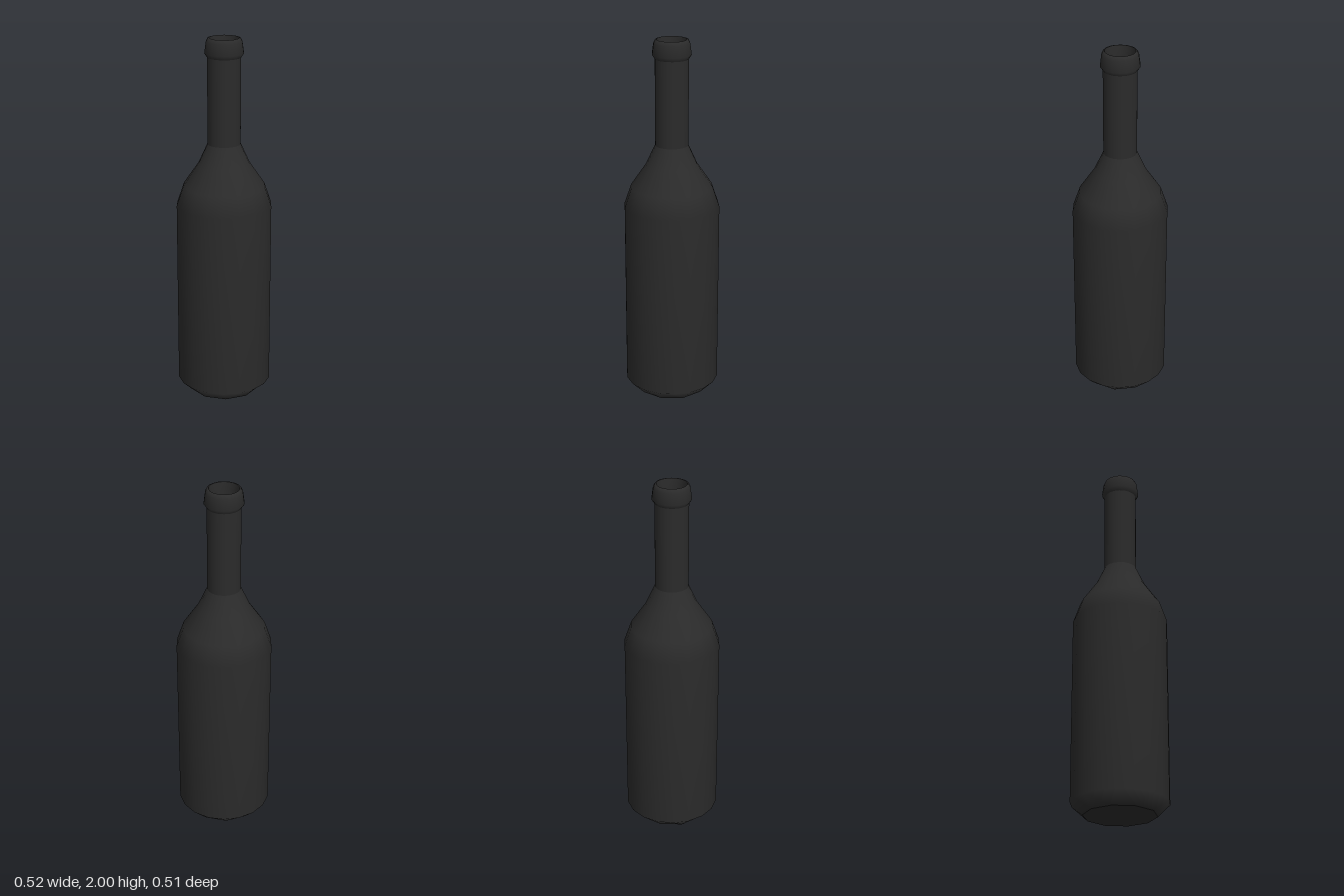
import * as THREE from 'three';

const SIDES = 18;
const CORE = 10; // coarser polygon used by the base and the bore floor

const glass = new THREE.MeshStandardMaterial({ color: 0x2b2b2b });

// Lathe with a corner on the x axis; profile is [radius, height] pairs
function turned(name, profile) {
  const points = profile.map(([r, y]) => new THREE.Vector2(r, y));
  const mesh = new THREE.Mesh(new THREE.LatheGeometry(points, SIDES, Math.PI / 2), glass);
  mesh.name = name;
  return mesh;
}

// Gather the ring at one height onto the corners of the coarser polygon
function snapRing(mesh, height) {
  const pos = mesh.geometry.attributes.position;
  const step = (Math.PI * 2) / CORE;
  for (let i = 0; i < pos.count; i++) {
    if (Math.abs(pos.getY(i) - height) > 1e-4) continue;
    const r = Math.hypot(pos.getX(i), pos.getZ(i));
    const a = Math.round(Math.atan2(pos.getZ(i), pos.getX(i)) / step) * step;
    pos.setXYZ(i, r * Math.cos(a), height, r * Math.sin(a));
  }
}

// Flat ten-sided disc facing up (1) or down (-1)
function disc(name, radius, y, facing) {
  const geometry = new THREE.CircleGeometry(radius, CORE);
  geometry.rotateX(-facing * Math.PI / 2);
  geometry.translate(0, y, 0);
  const mesh = new THREE.Mesh(geometry, glass);
  mesh.name = name;
  return mesh;
}

export function createModel() {
  const bottle = new THREE.Group();
  bottle.name = 'bottle';

  // Body: chamfered foot, straight wall and curved shoulder
  const body = turned('body', [
    [0.195, 0], [0.26, 0.065], [0.26, 1.09], [0.222, 1.2], [0.14, 1.32], [0.09, 1.43],
  ]);
  snapRing(body, 0);

  const neck = turned('neck', [[0.09, 1.43], [0.09, 1.9]]);

  // Lip: overhanging collar that rounds over at the mouth
  const lip = turned('lip', [
    [0.088, 1.895], [0.105, 1.92], [0.097, 1.98], [0.088, 1.998], [0.08, 2],
  ]);

  // Bore: tapering inside of the neck
  const bore = turned('bore', [[0.08, 2], [0.076, 1.95], [0.074, 1.45]]);
  snapRing(bore, 1.45);

  bottle.add(body, neck, lip, bore);
  bottle.add(disc('base', 0.195, 0, -1), disc('boreFloor', 0.074, 1.45, 1));
  return bottle;
}
